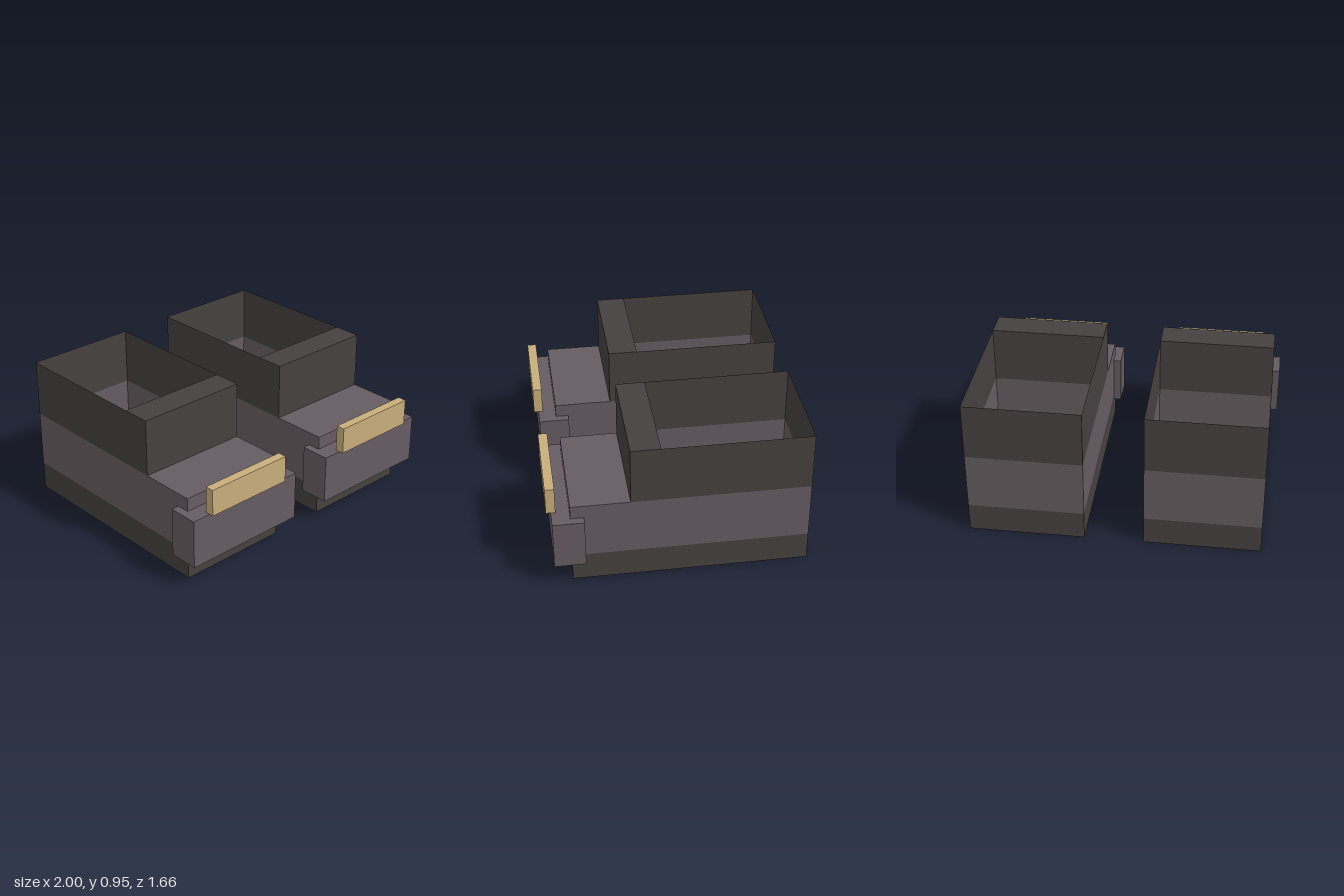
import * as THREE from 'three';

const dark = new THREE.MeshStandardMaterial({ name: 'dark leather', color: 0x45413f, side: THREE.DoubleSide });
const plum = new THREE.MeshStandardMaterial({ name: 'plum leather', color: 0x665c61, side: THREE.DoubleSide });
const gold = new THREE.MeshStandardMaterial({ name: 'gold trim', color: 0xc9ae7b });

// Body extents of one boot, measured from its own centre line
const HALF = 0.378, BACK = -0.83, INNER = 0.12, SHIN = 0.31, TOE = 0.685;
const SOLE = 0.19, MID = 0.57, TOP = 0.95;

function box(name, material, halfWidth, y0, y1, z0, z1) {
  const mesh = new THREE.Mesh(new THREE.BoxGeometry(halfWidth * 2, y1 - y0, z1 - z0), material);
  mesh.position.set(0, (y0 + y1) / 2, (z0 + z1) / 2);
  mesh.name = name;
  return mesh;
}

// Three sheet walls (both sides and the heel) around the open shaft
function shaftWalls(name, material, y0, y1) {
  const group = new THREE.Group();
  group.name = name;
  const depth = INNER - BACK, h = y1 - y0, y = (y0 + y1) / 2;
  for (const side of [-1, 1]) {
    const wall = new THREE.Mesh(new THREE.PlaneGeometry(depth, h), material);
    wall.rotation.y = side * Math.PI / 2;
    wall.position.set(side * HALF, y, (INNER + BACK) / 2);
    wall.name = name + 'Side';
    group.add(wall);
  }
  const heel = new THREE.Mesh(new THREE.PlaneGeometry(HALF * 2, h), material);
  heel.rotation.y = Math.PI;
  heel.position.set(0, y, BACK);
  heel.name = name + 'Heel';
  group.add(heel);
  return group;
}

function boot(name, x) {
  const group = new THREE.Group();
  group.name = name;
  group.position.x = x;
  group.add(
    box('sole', dark, HALF, 0, SOLE, BACK, TOE),
    shaftWalls('ankleWall', plum, SOLE, MID),
    box('toeBox', plum, HALF, SOLE, MID, INNER, TOE),
    shaftWalls('shaftWall', dark, MID, TOP),
    box('shin', dark, HALF, MID, TOP, INNER, SHIN),
    box('toeCap', plum, 0.43, 0.155, 0.482, 0.6, 0.8),
    box('toeTrim', gold, 0.305, 0.484, 0.662, 0.77, 0.83)
  );
  return group;
}

export function createModel() {
  const model = new THREE.Group();
  model.name = 'boots';
  model.add(boot('leftBoot', 0.57), boot('rightBoot', -0.57));
  return model;
}
